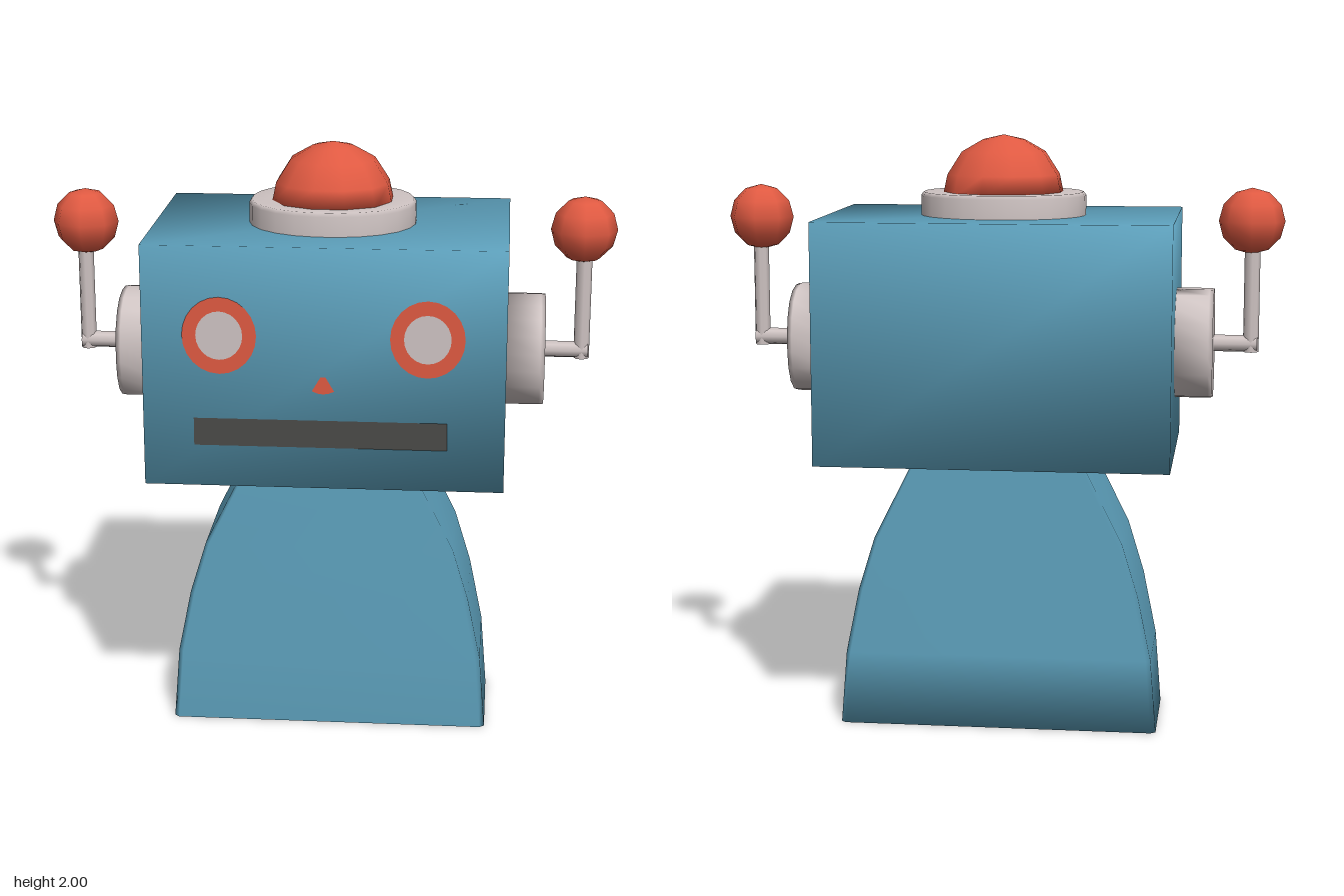
import * as THREE from 'three';
import { mergeVertices } from 'three/addons/utils/BufferGeometryUtils.js';

const paint = (name, color) => {
  const m = new THREE.MeshStandardMaterial({ color });
  m.name = name;
  return m;
};

// Shares vertices across edges so that normals blend softly
function soften(geometry) {
  geometry.deleteAttribute('uv');
  geometry.deleteAttribute('normal');
  const merged = mergeVertices(geometry, 1e-4);
  merged.computeVertexNormals();
  return merged;
}

// Slightly squared unit circle, counter-clockwise from above
function roundOutline(sides, power) {
  const points = [];
  for (let i = 0; i < sides; i++) {
    const a = ((i + 0.5) / sides) * Math.PI * 2;
    const c = Math.cos(a), s = Math.sin(a);
    const k = Math.pow(Math.abs(c) ** power + Math.abs(s) ** power, -1 / power);
    points.push([c * k, -s * k]);
  }
  return points;
}

// Capped solid from an outline scaled at levels [y, rx, rz]
function loft(outline, levels) {
  const n = outline.length, pos = [], index = [];
  for (const [y, rx, rz] of levels) for (const [x, z] of outline) pos.push(x * rx, y, z * rz);
  for (let l = 0; l < levels.length - 1; l++) {
    for (let i = 0; i < n; i++) {
      const a = l * n + i, b = l * n + (i + 1) % n;
      index.push(a, b, b + n, a, b + n, a + n);
    }
  }
  const top = (levels.length - 1) * n;
  for (let i = 1; i < n - 1; i++) {
    index.push(0, i + 1, i);
    index.push(top, top + i, top + i + 1);
  }
  const g = new THREE.BufferGeometry();
  g.setAttribute('position', new THREE.Float32BufferAttribute(pos, 3));
  g.setIndex(index);
  g.computeVertexNormals();
  return g;
}

export function createModel() {
  const model = new THREE.Group();
  model.name = 'robot';
  const blue = paint('blue', 0x5fa3bf);
  const red = paint('red', 0xe05a42);
  const grey = paint('lightGrey', 0xcfc4c3);
  const dark = paint('darkGrey', 0x4a4a48);

  const add = (name, geometry, material, x = 0, y = 0, z = 0, parent = model) => {
    const mesh = new THREE.Mesh(geometry, material);
    mesh.name = name;
    mesh.position.set(x, y, z);
    parent.add(mesh);
    return mesh;
  };

  // Flared body with narrow chamfered corners
  const bodyOutline = [
    [1, 0.93], [1, -0.93], [0.97, -1], [-0.97, -1],
    [-1, -0.93], [-1, 0.93], [-0.97, 1], [0.97, 1],
  ];
  add('body', loft(bodyOutline, [
    [0, 0.54, 0.2], [0.25, 0.52, 0.2], [0.47, 0.475, 0.2],
    [0.65, 0.42, 0.2], [0.9, 0.295, 0.2], [0.94, 0.28, 0.2],
  ]), blue);

  // Head
  add('head', soften(new THREE.BoxGeometry(1.17, 0.8, 0.8)), blue, 0, 1.335, 0);

  // Collar and dome lamp
  add('domeCollar', loft(roundOutline(24, 2.1), [
    [1.73, 0.277, 0.25], [1.735, 0.277, 0.25], [1.8, 0.277, 0.25], [1.812, 0.268, 0.241], [1.812, 0.2, 0.19],
  ]), grey);
  add('dome', loft(roundOutline(12, 2.25), [
    [1.8, 0.203, 0.195], [1.87, 0.188, 0.18], [1.945, 0.14, 0.135],
    [1.985, 0.07, 0.07], [2, 0.005, 0.005],
  ]), red);

  // Ears with bent antennas
  const earGeometry = loft(roundOutline(20, 2.35), [
    [0, 0.183, 0.185], [0.115, 0.183, 0.185], [0.13, 0.181, 0.183], [0.13, 0.1, 0.1],
  ]);
  for (const [label, side] of [['left', 1], ['right', -1]]) {
    const antenna = new THREE.Group();
    antenna.name = label + 'EarAndAntenna';
    model.add(antenna);
    add(label + 'Ear', earGeometry, grey, side * 0.58, 1.31, 0, antenna).rotation.z = -side * Math.PI / 2;
    add(label + 'AntennaArm', new THREE.CylinderGeometry(0.028, 0.028, 0.16, 8), grey,
      side * 0.775, 1.31, 0, antenna).rotation.z = Math.PI / 2;
    add(label + 'AntennaRod', new THREE.CylinderGeometry(0.026, 0.026, 0.37, 8), grey,
      side * 0.834, 1.467, 0, antenna);
    add(label + 'AntennaBall', new THREE.SphereGeometry(0.11, 8, 6), red, side * 0.83, 1.72, 0, antenna);

    // Eye: red ring around a light disc
    const rim = add(label + 'EyeRim', new THREE.RingGeometry(0.63, 1, 24), red, side * 0.334, 1.443, 0.403);
    rim.scale.set(0.12, 0.127, 1);
    const disc = add(label + 'EyeDisc', new THREE.CircleGeometry(0.64, 24), grey, side * 0.334, 1.443, 0.402);
    disc.scale.set(0.12, 0.127, 1);
  }

  // Nose
  const nose = new THREE.Shape();
  nose.moveTo(-0.036, 1.265);
  nose.quadraticCurveTo(0, 1.245, 0.036, 1.265);
  nose.lineTo(0.008, 1.312);
  nose.lineTo(-0.008, 1.312);
  add('nose', new THREE.ShapeGeometry(nose, 4), red, 0, 0, 0.403);

  // Mouth
  add('mouth', new THREE.PlaneGeometry(0.82, 0.092), dark, -0.01, 1.12, 0.403);

  return model;
}
